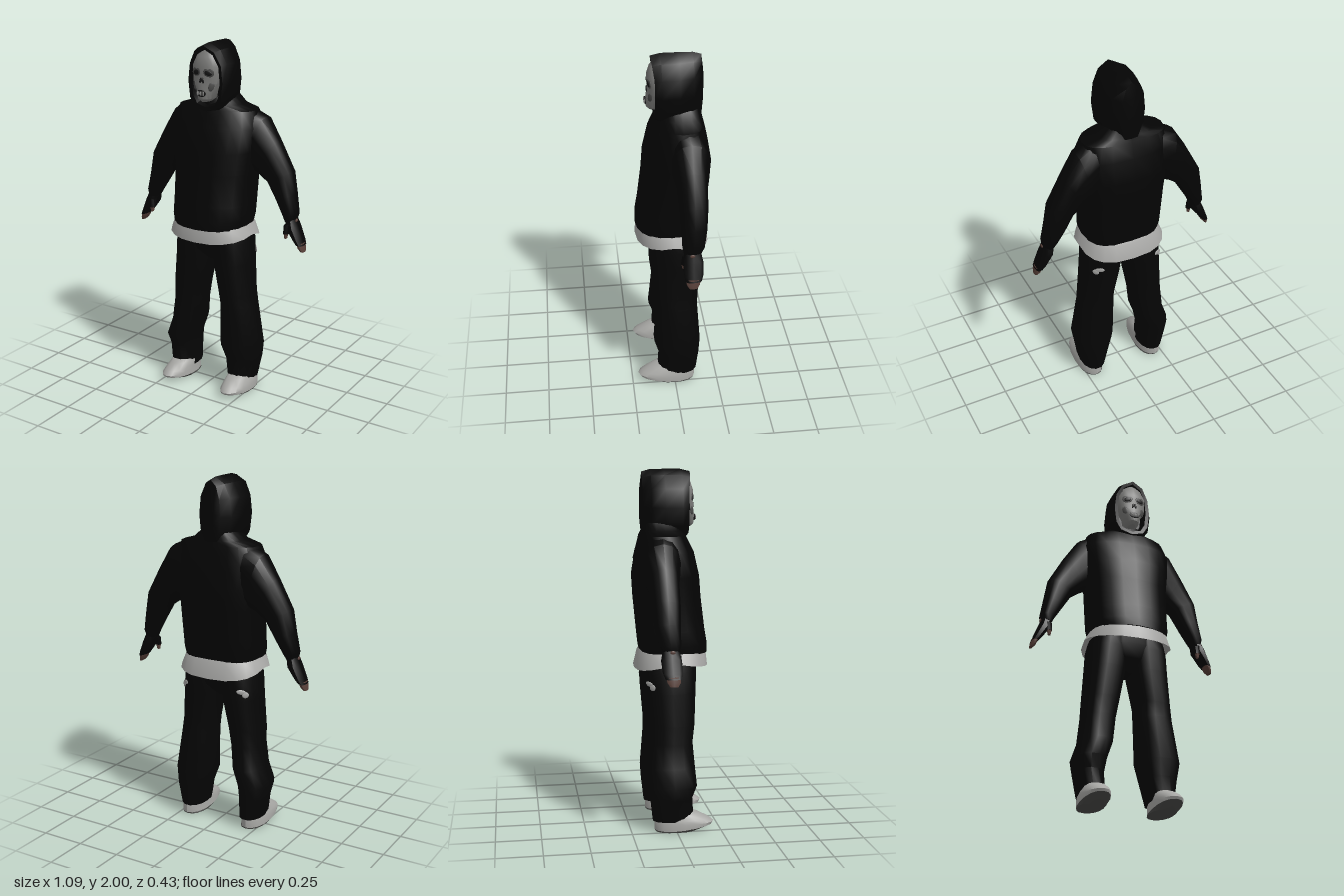
import * as THREE from 'three';
import { toCreasedNormals } from 'three/addons/utils/BufferGeometryUtils.js';

const material = (name, color) => {
  const m = new THREE.MeshStandardMaterial({ color });
  m.name = name;
  return m;
};

// Cross-section between a +x point and a -x point, reaching from zB to zF
function ring([xR, yR, xL, yL, zF, zB], front, back, sides) {
  const pts = [];
  for (let j = 0; j < sides; j++) {
    const a = (j / sides) * Math.PI * 2;
    const power = j * 2 <= sides ? front : back;
    const bend = (v) => Math.sign(v) * Math.pow(Math.abs(v), 2 / power);
    const t = (bend(Math.cos(a)) + 1) / 2;
    pts.push([xL + (xR - xL) * t, yL + (yR - yL) * t,
      (zF + zB) / 2 + ((zF - zB) / 2) * bend(Math.sin(a))]);
  }
  return pts;
}

// Closed skin over loops of points, with both ends capped
function skin(loops, crease = 0.7) {
  const n = loops[0].length;
  const pos = loops.flat(2);
  const idx = [];
  for (let i = 0; i < loops.length - 1; i++) {
    for (let j = 0; j < n; j++) {
      const a = i * n + j, b = i * n + ((j + 1) % n);
      idx.push(a, b, a + n, b, b + n, a + n);
    }
  }
  [0, loops.length - 1].forEach((row, end) => {
    const c = pos.length / 3;
    for (let k = 0; k < 3; k++) pos.push(loops[row].reduce((s, p) => s + p[k], 0) / n);
    for (let j = 0; j < n; j++) {
      const a = row * n + j, b = row * n + ((j + 1) % n);
      if (end) idx.push(c, a, b); else idx.push(c, b, a);
    }
  });
  const g = new THREE.BufferGeometry();
  g.setAttribute('position', new THREE.Float32BufferAttribute(pos, 3));
  g.setIndex(idx);
  return toCreasedNormals(g, crease);
}

// Loft over rings; shift may move each point's height
const loft = (rings, front = 2.4, back = front, sides = 14, shift = (x, y) => y) =>
  skin(rings.map((r, i) => ring(r, front, back, sides).map(([x, y, z]) => [x, shift(x, y, z, i), z])));
const mirrored = (rings) => rings.map(([xR, yR, xL, yL, f, b]) => [-xL, yL, -xR, yR, f, b]);
const centred = (rows) => rows.map(([x, y, f, b]) => [x, y, -x, y, f, b]);

export function createModel() {
  const group = new THREE.Group();
  const hoodieBlack = material('hoodie black', 0x040404);
  const trouserBlack = material('trouser black', 0x050505);
  const shirtGrey = material('shirt grey', 0xa6a6a4);
  const shoeGrey = material('shoe grey', 0xa6a6a3);
  const soleGrey = material('sole grey', 0x4c4c4a);
  const boneGrey = material('bone grey', 0x7c7c7a);
  const shadeGrey = material('mask shade grey', 0x4a4a49);
  const socketBlack = material('socket black', 0x151515);
  const skinTone = material('skin', 0x584039);

  const add = (name, geometry, mat) => {
    const mesh = new THREE.Mesh(geometry, mat);
    mesh.name = name;
    group.add(mesh);
    return mesh;
  };
  const pair = (name, rings, mat, ...shape) => {
    add('left' + name, loft(rings, ...shape), mat);
    add('right' + name, loft(mirrored(rings), ...shape), mat);
  };
  // Flat oval detail lying on a surface
  const oval = (name, mat, x, y, z, w, h, turn = 0, tilt = 0) => {
    const mesh = add(name, new THREE.SphereGeometry(1, 12, 6), mat);
    mesh.scale.set(w, h, 0.0048);
    mesh.position.set(x, y, z);
    mesh.rotation.set(0, turn, tilt);
  };

  // Hoodie body, flatter across the back
  add('hoodieBody', loft(centred([
    [0.1, 1.71, 0.05, -0.15], [0.15, 1.665, 0.065, -0.16], [0.235, 1.64, 0.08, -0.168],
    [0.262, 1.55, 0.125, -0.19], [0.252, 1.42, 0.157, -0.213], [0.237, 1.3, 0.167, -0.207],
    [0.232, 1.12, 0.19, -0.19], [0.23, 1.04, 0.204, -0.182], [0.218, 0.99, 0.205, -0.175],
  ]), 2.2, 2.9, 20), hoodieBlack);

  // Shirt tail, arched over the hips
  add('shirtTail', loft(centred([
    [0.21, 1.02, 0.185, -0.165], [0.228, 0.99, 0.197, -0.185], [0.25, 0.95, 0.205, -0.206],
    [0.2, 0.965, 0.14, -0.172],
  ]), 2.3, 2.7, 20, (x, y, z, i) => (i === 2 ? y - (z > 0 ? 0.17 : 0.25) * Math.abs(z) : y)), shirtGrey);

  // Sleeves, gloves, fingers and thumbs
  pair('Sleeve', [
    [0.2, 1.645, 0.16, 1.36, 0.03, -0.17], [0.285, 1.605, 0.21, 1.31, 0.02, -0.18],
    [0.365, 1.48, 0.25, 1.29, 0, -0.16], [0.452, 1.32, 0.31, 1.25, -0.005, -0.155],
    [0.472, 1.2, 0.365, 1.16, -0.01, -0.147], [0.492, 1.09, 0.408, 1.09, -0.012, -0.13],
    [0.482, 1.05, 0.428, 1.05, -0.02, -0.11],
  ], hoodieBlack);
  pair('Glove', [
    [0.483, 1.07, 0.43, 1.06, -0.025, -0.11], [0.503, 1.02, 0.44, 1.01, -0.012, -0.122],
    [0.53, 0.95, 0.482, 0.955, -0.014, -0.118], [0.541, 0.922, 0.5, 0.93, -0.02, -0.108],
  ], hoodieBlack, 2.8, 2.8, 10);
  pair('Fingers', [
    [0.537, 0.935, 0.498, 0.94, -0.024, -0.104], [0.543, 0.907, 0.512, 0.907, -0.026, -0.098],
    [0.546, 0.886, 0.53, 0.886, -0.04, -0.084],
  ], skinTone, 2.6, 2.6, 10);
  pair('ThumbGlove', [
    [0.47, 1.04, 0.43, 1.03, -0.012, -0.06], [0.466, 0.985, 0.432, 0.985, -0.005, -0.04],
  ], hoodieBlack, 2, 2, 8);
  pair('ThumbTip', [
    [0.463, 0.987, 0.435, 0.987, -0.008, -0.037], [0.456, 0.958, 0.44, 0.958, -0.012, -0.032],
  ], skinTone, 2, 2, 8);

  // Hood: outlines run from the recessed opening to the back of the head
  const half = [[0.072, 1.965], [0.114, 1.89], [0.126, 1.79], [0.113, 1.69], [0.08, 1.64]];
  const outline = [[0, 2], ...half, [0, 1.62], ...half.map(([x, y]) => [-x, y]).reverse()];
  const hoodLoops = [
    [0.62, 0.72, 0.03], [0.7, 0.83, 0.088], [0.86, 0.93, 0.092], [1, 1, 0.055], [0.97, 1, -0.04],
    [0.8, 0.99, -0.115], [0.45, 0.92, -0.16], [0.2, 0.5, -0.17],
  ].map(([sx, sy, z], i) => outline.map(([x, y]) =>
    [x * sx, 1.82 + (y - 1.82) * sy, z + (i > 0 && i < 3 ? Math.max(0, y - 1.92) * 0.22 : 0)]));
  add('hood', skin(hoodLoops), hoodieBlack);

  // Skull mask
  add('skullMask', loft(centred([
    [0.03, 1.968, 0.085, 0.02], [0.066, 1.93, 0.113, 0], [0.084, 1.88, 0.128, 0],
    [0.084, 1.84, 0.124, 0], [0.08, 1.79, 0.128, 0], [0.052, 1.75, 0.135, 0],
    [0.042, 1.705, 0.132, 0], [0.022, 1.688, 0.115, 0.02],
  ]), 2.3, 2.3, 16), boneGrey);
  for (const s of [-1, 1]) {
    oval('eyeSocket', shadeGrey, s * 0.039, 1.85, 0.118, 0.031, 0.025, s * 0.28, s * -0.2);
    oval('eye', socketBlack, s * 0.038, 1.847, 0.121, 0.022, 0.014, s * 0.28, s * -0.25);
    oval('cheekHollow', shadeGrey, s * 0.052, 1.775, 0.113, 0.016, 0.026, s * 0.65, s * -0.3);
    oval('nostril', socketBlack, s * 0.007, 1.806, 0.127, 0.007, 0.016, 0, s * 0.25);
  }
  oval('mouth', socketBlack, 0, 1.738, 0.135, 0.032, 0.019);
  for (let i = -2; i <= 2; i++) oval('tooth', boneGrey, i * 0.01, 1.738, 0.139, 0.0036, 0.013);

  // Trousers, with the two legs hanging a little differently
  add('trouserSeat', loft(centred([
    [0.205, 1, 0.13, -0.155], [0.215, 0.92, 0.125, -0.163], [0.15, 0.84, 0.105, -0.14],
    [0.02, 0.772, 0.04, -0.07],
  ])), trouserBlack);
  const thigh = [
    [0.21, 0.98, 0, 0.98, 0.125, -0.158], [0.228, 0.9, 0, 0.9, 0.128, -0.166],
    [0.236, 0.78, 0.015, 0.78, 0.122, -0.158], [0.25, 0.6, 0.05, 0.6, 0.113, -0.14],
  ];
  add('leftTrouserLeg', loft([...thigh,
    [0.262, 0.52, 0.054, 0.52, 0.1, -0.136], [0.3, 0.28, 0.062, 0.28, 0.12, -0.152],
    [0.288, 0.19, 0.09, 0.19, 0.092, -0.145], [0.262, 0.06, 0.122, 0.06, 0.102, -0.13],
  ], 2.2), trouserBlack);
  add('rightTrouserLeg', loft([...mirrored(thigh),
    [-0.068, 0.5, -0.255, 0.5, 0.1, -0.136], [-0.085, 0.36, -0.268, 0.36, 0.112, -0.15],
    [-0.12, 0.26, -0.302, 0.26, 0.118, -0.152], [-0.13, 0.19, -0.288, 0.19, 0.092, -0.145],
    [-0.128, 0.06, -0.266, 0.06, 0.102, -0.13],
  ], 2.2), trouserBlack);

  // Worn patches behind the hips and marks on the gloves
  for (const s of [-1, 1]) {
    oval('trouserPatch', shirtGrey, s * 0.182, 0.832, -0.142, 0.03, 0.014, s * 2.5, s * 0.2);
    oval('trouserPatch', shirtGrey, s * 0.2, 0.815, -0.128, 0.02, 0.018, s * 2.36);
    oval('gloveMark', skinTone, s * 0.491, 1.058, -0.062, 0.014, 0.01, s * 1.57);
  }

  // Shoes with dark soles rising towards the toes
  const soleLine = (z) => 0.008 + Math.max(0, z) * 0.12;
  pair('Shoe', [
    [0.25, 0.115, 0.14, 0.115, 0.08, -0.1], [0.258, 0.095, 0.132, 0.095, 0.135, -0.112],
    [0.268, 0.065, 0.13, 0.065, 0.192, -0.118], [0.274, 0.045, 0.128, 0.045, 0.215, -0.12],
    [0.274, 0, 0.126, 0, 0.207, -0.12],
  ], shoeGrey, 2.2, 2.2, 16, (x, y, z, i) => (i === 4 ? soleLine(z) : y));
  pair('Sole', [
    [0.273, 0, 0.127, 0, 0.206, -0.119], [0.266, 0, 0.13, 0, 0.12, -0.116],
  ], soleGrey, 2.2, 2.2, 16, (x, y, z, i) => (i === 0 ? soleLine(z) : y));

  return group;
}
